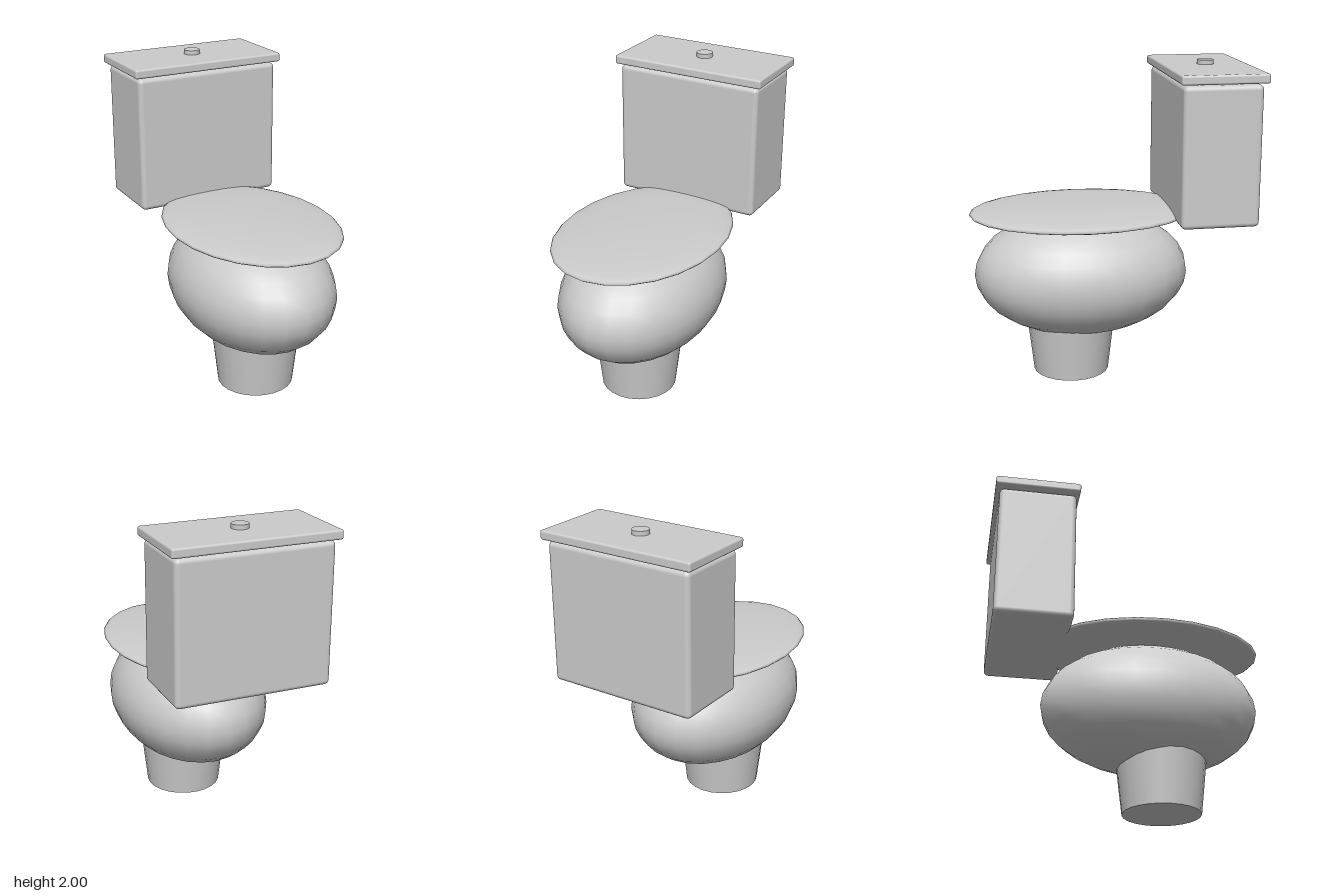
import * as THREE from 'three';
import { RoundedBoxGeometry } from 'three/addons/geometries/RoundedBoxGeometry.js';

const material = new THREE.MeshStandardMaterial({ color: 0xcccccc });

export function createModel() {
  const model = new THREE.Group();
  model.name = 'toilet';

  const add = (name, geometry, x, y, z) => {
    const mesh = new THREE.Mesh(geometry, material);
    mesh.name = name;
    mesh.position.set(x, y, z);
    model.add(mesh);
    return mesh;
  };

  // Ellipsoid with the given radii
  const ellipsoid = (rx, ry, rz) => new THREE.SphereGeometry(1, 24, 16).scale(rx, ry, rz);

  // Tapered foot, its top buried in the bowl
  add('pedestal', new THREE.CylinderGeometry(0.288, 0.243, 0.4, 24), 0, 0.2, 0.243);

  // Bowl and the flattened seat lid that rests on it
  add('bowl', ellipsoid(0.485, 0.403, 0.684), 0, 0.663, 0.17);
  add('seatLid', ellipsoid(0.515, 0.054, 0.708), 0, 1.06, 0.17);

  // Cistern with its overhanging cover and flush button
  add('tank', new RoundedBoxGeometry(0.97, 0.867, 0.484, 3, 0.03), 0, 1.472, -0.614);
  add('tankCover', new RoundedBoxGeometry(1.024, 0.057, 0.532, 3, 0.013), 0, 1.944, -0.616);
  add('flushButton', new THREE.CylinderGeometry(0.052, 0.052, 0.04, 24), 0, 1.98, -0.616);

  return model;
}
